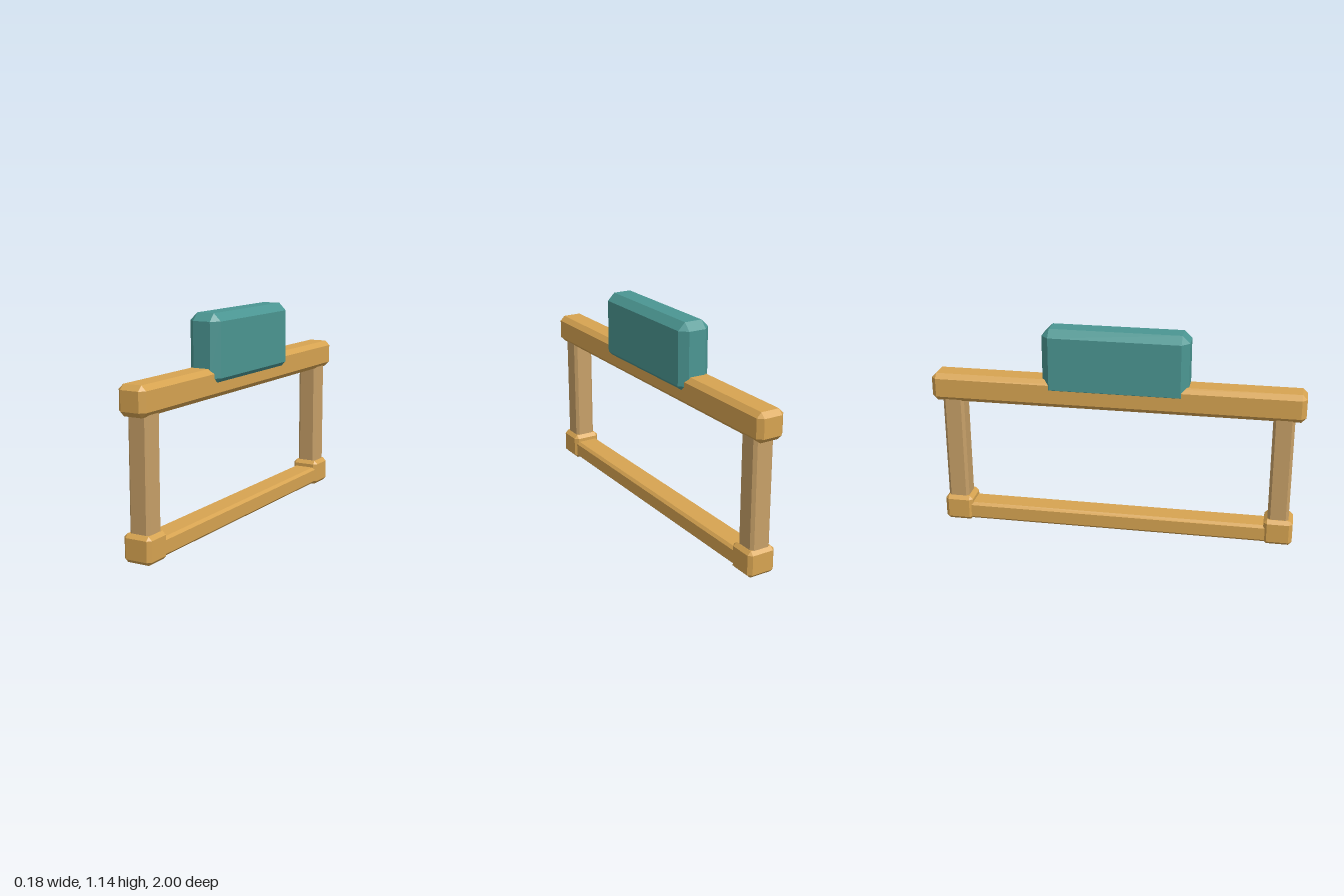
import * as THREE from 'three';
import { ConvexGeometry } from 'three/addons/geometries/ConvexGeometry.js';

const material = (name, color) => {
  const m = new THREE.MeshStandardMaterial({ color });
  m.name = name;
  return m;
};

// Box between two corners with every edge cut at 45 degrees
function chamferBox(min, max, c) {
  const points = [];
  for (const i of [0, 1]) for (const j of [0, 1]) for (const k of [0, 1]) {
    const side = [i, j, k];
    for (let flat = 0; flat < 3; flat++) {
      const p = side.map((s, a) => {
        const inset = a === flat ? 0 : c;
        return s ? max[a] - inset : min[a] + inset;
      });
      points.push(new THREE.Vector3(...p));
    }
  }
  return new ConvexGeometry(points);
}

export function createModel() {
  const model = new THREE.Group();
  model.name = 'paddedFrame';
  const wood = material('golden wood', 0xd7a451);
  const paleWood = material('pale wood', 0xc7a068);
  const teal = material('teal padding', 0x4b9692);

  const add = (name, mat, min, max, c) => {
    const mesh = new THREE.Mesh(chamferBox(min, max, c), mat);
    mesh.name = name;
    model.add(mesh);
  };

  // Long horizontal members
  add('topBeam', wood, [-0.088, 0.712, -1], [0.065, 0.865, 1], 0.026);
  add('bottomRail', wood, [-0.08, 0.008, -0.88], [0.056, 0.105, 0.88], 0.014);

  // Uprights standing in foot blocks
  add('frontPost', paleWood, [-0.069, 0.08, 0.832], [0.046, 0.76, 0.945], 0.015);
  add('backPost', paleWood, [-0.069, 0.08, -0.945], [0.046, 0.76, -0.83], 0.015);
  add('frontFoot', wood, [-0.09, 0, 0.813], [0.067, 0.143, 0.969], 0.019);
  add('backFoot', wood, [-0.09, 0, -0.962], [0.067, 0.143, -0.806], 0.019);

  // Pad straddling the middle of the beam
  add('pad', teal, [-0.09, 0.775, -0.39], [0.088, 1.142, 0.39], 0.04);

  return model;
}
